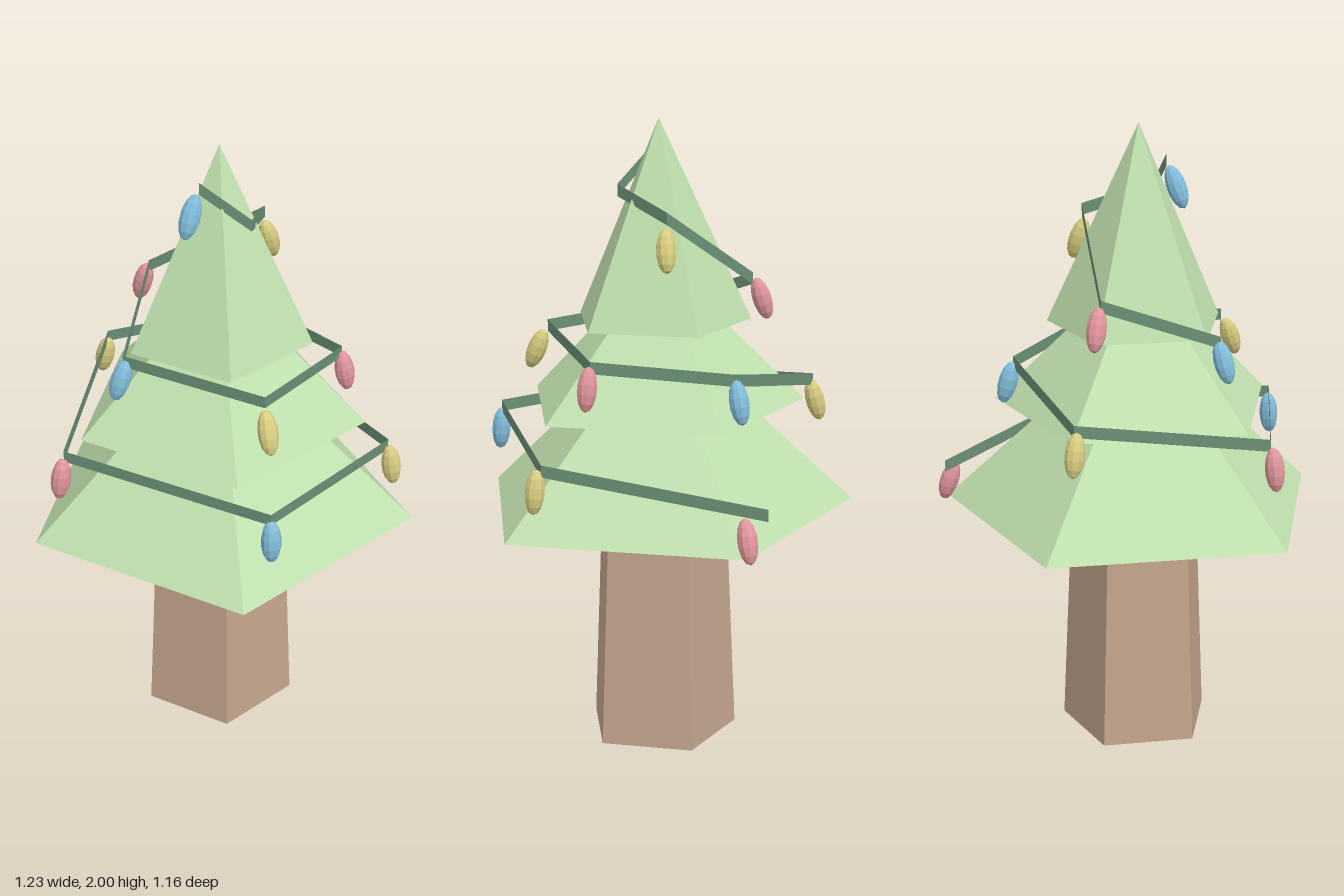
import * as THREE from 'three';

const CX = -0.01, CZ = 0.05; // trunk axis

const paint = (color, side = THREE.FrontSide) =>
  new THREE.MeshStandardMaterial({ color, side, flatShading: true });

// Five-sided solid from a profile of [radius, height], one corner to the back
function pentagon(name, profile, material) {
  const points = profile.map(([r, y]) => new THREE.Vector2(r, y));
  const mesh = new THREE.Mesh(new THREE.LatheGeometry(points, 5, Math.PI), material);
  mesh.name = name;
  mesh.position.set(CX, 0, CZ);
  return mesh;
}

// Upright strip that follows a list of points
function ribbon(points, height) {
  const verts = [], index = [];
  points.forEach(([x, y, z], i) => {
    verts.push(x, y - height / 2, z, x, y + height / 2, z);
    if (i) {
      const a = 2 * i - 2;
      index.push(a, a + 2, a + 3, a, a + 3, a + 1);
    }
  });
  const geo = new THREE.BufferGeometry();
  geo.setAttribute('position', new THREE.Float32BufferAttribute(verts, 3));
  geo.setIndex(index);
  const flat = geo.toNonIndexed();
  flat.computeVertexNormals();
  return flat;
}

export function createModel() {
  const tree = new THREE.Group();
  tree.name = 'festiveTree';

  // Tapered trunk
  tree.add(pentagon('trunk', [[0, 0], [0.25, 0], [0.21, 0.92], [0, 0.92]], paint(0xc4a68e)));

  // Foliage tiers with hollowed undersides
  const green = paint(0xc0e0ae);
  tree.add(pentagon('lowerFoliage', [[0, 0.89], [0.2, 0.89], [0.63, 0.76], [0.27, 1.1], [0.17, 1.2], [0, 1.2]], green));
  tree.add(pentagon('middleFoliage', [[0, 1.18], [0.18, 1.18], [0.465, 1.1], [0.2, 1.365], [0.12, 1.45], [0, 1.45]], green));
  tree.add(pentagon('topFoliage', [[0, 1.42], [0.12, 1.42], [0.293, 1.365], [0, 2]], green));

  // Garland winding down the tree
  const path = [
    [-0.1, 1.89, 0.06], [0, 1.78, 0.18], [0.185, 1.715, 0.045], [-0.03, 1.49, -0.25],
    [-0.33, 1.36, -0.03], [-0.145, 1.33, 0.395], [0.29, 1.285, 0.29], [0.335, 1.245, -0.145],
    [-0.04, 1.155, -0.45], [-0.525, 1.075, -0.09], [-0.26, 1.04, 0.545], [0.355, 0.985, 0.445],
    [0.555, 0.885, -0.215],
  ];
  const garland = new THREE.Mesh(ribbon(path, 0.038), paint(0x6a9076, THREE.DoubleSide));
  garland.name = 'garland';
  tree.add(garland);

  // Bulbs: x, y, z, outward tilt in degrees; colours repeat blue, yellow, pink
  const bulbs = [
    [-0.135, 1.81, 0.06, 22], [0.2, 1.62, 0.05, 20], [-0.03, 1.425, -0.28, 18],
    [-0.34, 1.3, -0.03, 20], [-0.165, 1.25, 0.43, 24], [0.295, 1.22, 0.3, 10],
    [0.35, 1.18, -0.155, 15], [-0.047, 1.085, -0.46, 15], [-0.54, 1.0, -0.09, 8],
    [-0.26, 0.965, 0.548, 5], [0.352, 0.92, 0.465, 8], [0.58, 0.815, -0.15, 18],
  ];
  const colors = [['blueBulb', 0x82bedb], ['yellowBulb', 0xd9cd80], ['pinkBulb', 0xe2969f]]
    .map(([name, c]) => ({ name, material: paint(c) }));
  const bulbGeo = new THREE.SphereGeometry(1, 10, 7).scale(0.031, 0.07, 0.031);
  const down = new THREE.Vector3(0, -1, 0);
  bulbs.forEach(([x, y, z, tilt], i) => {
    const { name, material } = colors[i % 3];
    const bulb = new THREE.Mesh(bulbGeo, material);
    bulb.name = name;
    bulb.position.set(x, y, z);
    const hang = new THREE.Vector3(x - CX, 0, z - CZ).normalize()
      .multiplyScalar(Math.tan(THREE.MathUtils.degToRad(tilt))).add(down).normalize();
    bulb.quaternion.setFromUnitVectors(down, hang);
    tree.add(bulb);
  });

  return tree;
}
